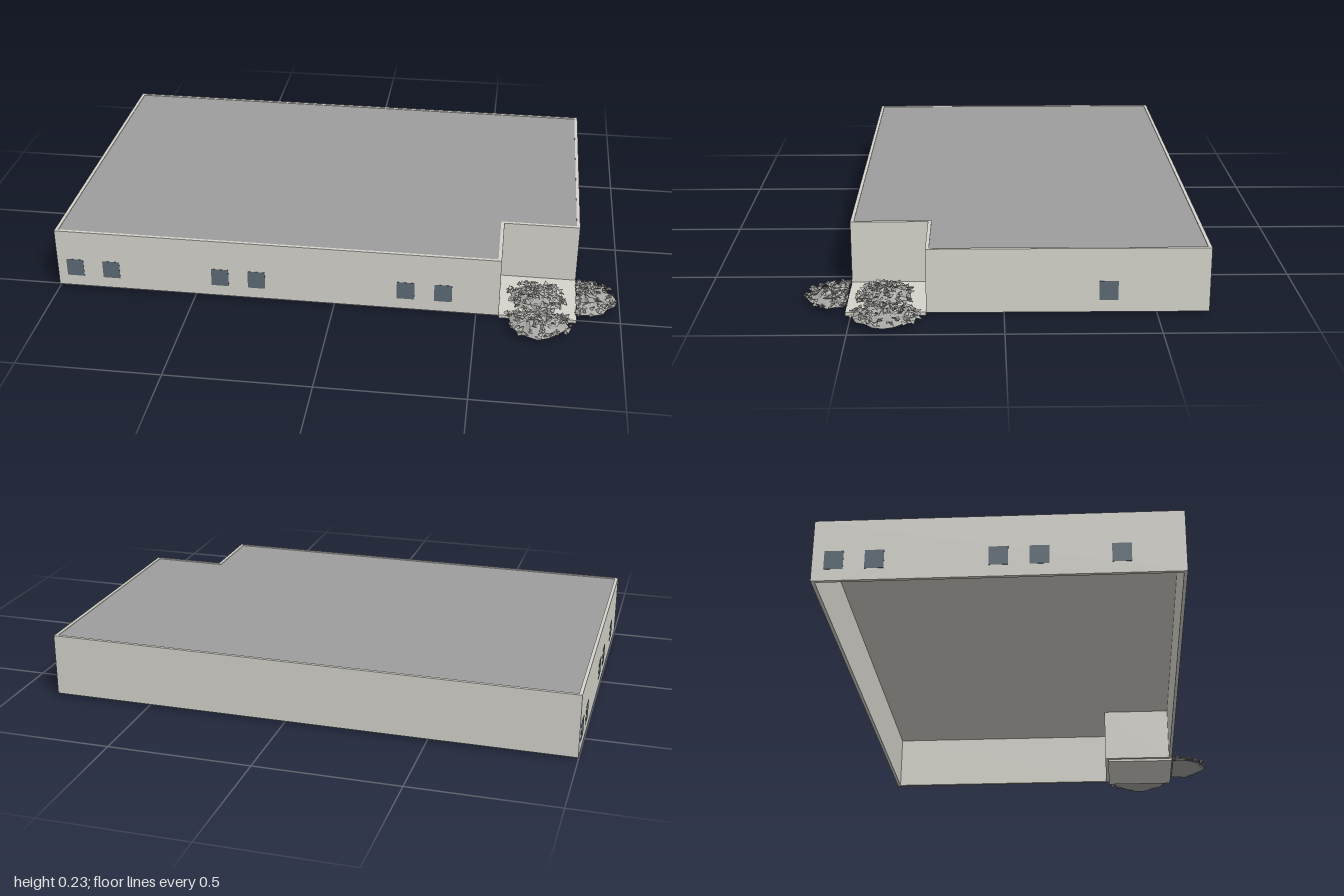
import * as THREE from 'three';
import { mergeGeometries } from 'three/addons/utils/BufferGeometryUtils.js';

const mat = (color, extra = {}) => new THREE.MeshStandardMaterial({ color, ...extra });
const wallMat = mat(0xd5d3cb);
const roofMat = mat(0x9e9e9e);
const glassMat = mat(0x5c6973);
const plantMat = mat(0xa6a6a2, { flatShading: true, side: THREE.DoubleSide });

// Building outline
const X0 = -1, X1 = 0.848, Z0 = -0.67, Z1 = 0.518;
const NX = 0.58, NZ = 0.254;         // inner corner of the recessed entrance
const BASE = 0.01, TOP = 0.23, THICK = 0.012;

// L-shaped floor plan, moved inwards by d
function plan(d) {
  return [
    [X0 + d, Z0 + d], [X1 - d, Z0 + d], [X1 - d, NZ - d],
    [NX - d, NZ - d], [NX - d, Z1 - d], [X0 + d, Z1 - d],
  ].map(([x, z]) => new THREE.Vector2(x, -z));
}

function slab(shape, y, depth) {
  return new THREE.ExtrudeGeometry(shape, { depth, bevelEnabled: false })
    .rotateX(-Math.PI / 2).translate(0, y, 0);
}

function seeded(seed) {
  return () => {
    seed = (seed * 1664525 + 1013904223) % 4294967296;
    return seed / 4294967296;
  };
}

// Low ragged plant bed: a noisy mound covered in small angular leaves
function plantBed({ cx, cz, rx, rz, base, height, minX = -9, minZ = -9, seed }) {
  const rand = seeded(seed);
  const keep = (v) => v.set(Math.max(v.x, minX), v.y, Math.max(v.z, minZ));
  const rings = 4, sides = 20;
  const positions = [], index = [];
  const v = new THREE.Vector3();
  for (let r = 0; r <= rings; r++) {
    for (let s = 0; s < sides; s++) {
      const t = r / rings, a = (s / sides) * Math.PI * 2;
      const k = t * (0.8 + 0.2 * rand());
      const y = base + height * (1 - t * t) * (0.5 + 0.4 * rand());
      keep(v.set(cx + Math.cos(a) * rx * k, y, cz + Math.sin(a) * rz * k));
      positions.push(v.x, v.y, v.z);
      if (r < rings) {
        const a0 = r * sides + s, a1 = r * sides + (s + 1) % sides;
        index.push(a0, a1, a0 + sides, a1, a1 + sides, a0 + sides);
      }
    }
  }
  const mound = new THREE.BufferGeometry();
  mound.setAttribute('position', new THREE.Float32BufferAttribute(positions, 3));
  mound.setIndex(index);
  const bottom = new THREE.CircleGeometry(1, sides).rotateX(Math.PI / 2)
    .scale(rx * 0.85, 1, rz * 0.85).translate(cx, base, cz);
  const bp = bottom.attributes.position;
  for (let i = 0; i < bp.count; i++) {
    keep(v.fromBufferAttribute(bp, i));
    bp.setXYZ(i, v.x, v.y, v.z);
  }
  const parts = [mound, bottom].map((g) => g.toNonIndexed());

  for (let i = 0; i < 130; i++) {
    const a = rand() * Math.PI * 2, t = Math.sqrt(rand());
    const size = 0.006 + 0.008 * rand();
    keep(v.set(
      cx + Math.cos(a) * rx * t,
      base + 0.005 + height * (1 - t * t) * (0.5 + 0.4 * rand()),
      cz + Math.sin(a) * rz * t));
    const leaf = new THREE.TetrahedronGeometry(size)
      .scale(1.4, 0.6, 1)
      .rotateZ((rand() - 0.5) * 1.4).rotateY(rand() * 6.28)
      .translate(v.x, v.y, v.z);
    parts.push(leaf);
  }
  for (const g of parts) {
    g.deleteAttribute('uv');
    g.computeVertexNormals();
  }
  return mergeGeometries(parts);
}

export function createModel() {
  const model = new THREE.Group();
  const add = (name, geometry, material) => {
    const mesh = new THREE.Mesh(geometry, material);
    mesh.name = name;
    model.add(mesh);
    return mesh;
  };

  // Hollow outer walls, open below; the hole runs against the outline
  const walls = new THREE.Shape(plan(0));
  walls.holes.push(new THREE.Path(plan(THICK).reverse()));
  add('walls', slab(walls, BASE, TOP - BASE), wallMat);

  // Flat roof and ceiling set just inside the wall tops
  const inside = new THREE.Shape(plan(THICK));
  add('roof', slab(inside, TOP - 0.006, 0.004), roofMat);
  add('ceiling', slab(inside, TOP - 0.01, 0.004), wallMat);

  // Entrance floor in the cut-out corner
  add('entranceFloor', new THREE.BoxGeometry(X1 - NX, 0.012, Z1 - NZ)
    .translate((X1 + NX) / 2, 0.006, (Z1 + NZ) / 2), wallMat);

  // Windows, almost flush with the walls
  const pane = new THREE.BoxGeometry(0.062, 0.066, 0.002);
  const addWindow = (name, x, z, turn) => {
    const w = add(name, pane, glassMat);
    w.position.set(x, 0.084, z);
    w.rotation.y = turn;
  };
  for (const x of [-0.935, -0.803, -0.407, -0.276, 0.253, 0.384]) addWindow('frontWindow', x, Z1, 0);
  for (const z of [-0.6, -0.47, -0.075, 0.055, 0.315]) addWindow('rightWindow', X0, z, Math.PI / 2);
  addWindow('leftWindow', X1, -0.34, Math.PI / 2);

  // Plant beds on and around the entrance
  const beds = [
    { name: 'entrancePlants', cx: 0.707, cz: 0.395, rx: 0.105, rz: 0.098, base: 0.013, height: 0.042, seed: 7 },
    { name: 'frontPlants', cx: 0.717, cz: 0.545, rx: 0.118, rz: 0.118, base: 0.016, height: 0.036, minZ: 0.524, seed: 21 },
    { name: 'sidePlants', cx: 0.875, cz: 0.385, rx: 0.118, rz: 0.118, base: 0.016, height: 0.036, minX: 0.854, seed: 43 },
  ];
  for (const bed of beds) add(bed.name, plantBed(bed), plantMat);

  return model;
}
